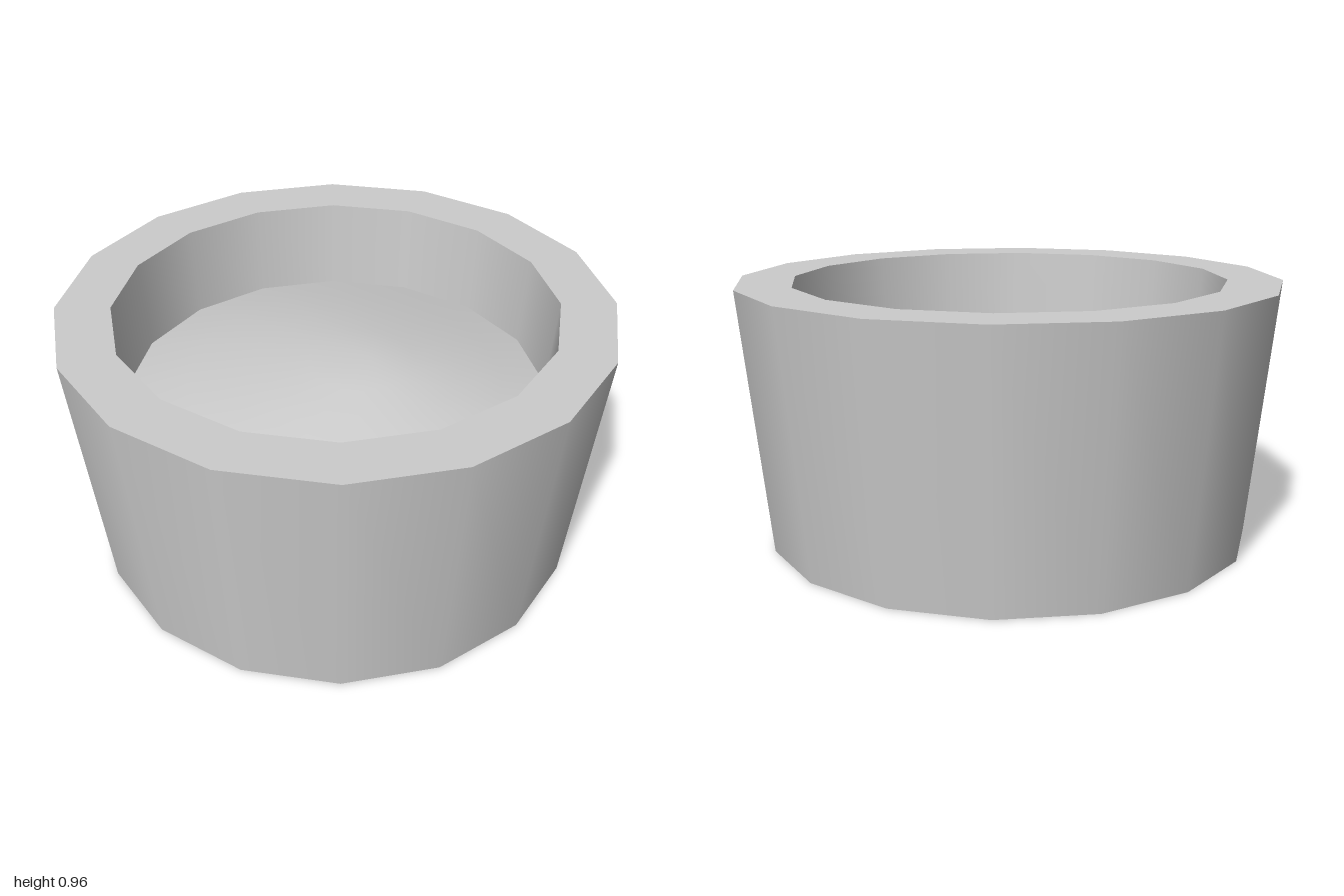
import * as THREE from 'three';
import { mergeVertices } from 'three/addons/utils/BufferGeometryUtils.js';

const SIDES = 16;
const HEIGHT = 0.96;
const SOIL_Y = 0.62;
const SOIL_R = 0.775;

export function createModel() {
  const group = new THREE.Group();
  const material = new THREE.MeshStandardMaterial({ color: 0xcccccc });

  const add = (name, geometry) => {
    const mesh = new THREE.Mesh(geometry, material);
    mesh.name = name;
    group.add(mesh);
  };
  const lathe = (points) =>
    new THREE.LatheGeometry(points.map(([r, y]) => new THREE.Vector2(r, y)), SIDES);

  // Pot: separate bands keep the rim and base edges sharp
  add('outerWall', lathe([[0.9, 0], [1, HEIGHT]]));
  add('rim', lathe([[1, HEIGHT], [0.8, HEIGHT]]));
  add('innerWall', lathe([[0.8, HEIGHT], [SOIL_R, SOIL_Y]]));
  add('base', lathe([[0, 0], [0.9, 0]]));

  // Soil: a low mound with its peak a little off centre
  const rings = [1, 0.75, 0.5, 0.25, 0].map((t) => [SOIL_R * t, SOIL_Y]);
  let soil = lathe(rings);
  soil.deleteAttribute('normal');
  soil.deleteAttribute('uv');
  soil = mergeVertices(soil, 1e-4);
  const pos = soil.attributes.position;
  for (let i = 0; i < pos.count; i++) {
    const x = pos.getX(i), z = pos.getZ(i);
    const t = Math.min(1, Math.hypot(x, z) / SOIL_R);
    const bump = 0.012 * Math.sin(5 * x + 1) * Math.cos(4 * z) * (1 - t);
    pos.setXYZ(i, x + 0.12 * (1 - t), SOIL_Y + 0.15 * (1 - t ** 1.6) + bump, z + 0.06 * (1 - t));
  }
  soil.computeVertexNormals();
  add('soil', soil);

  return group;
}
